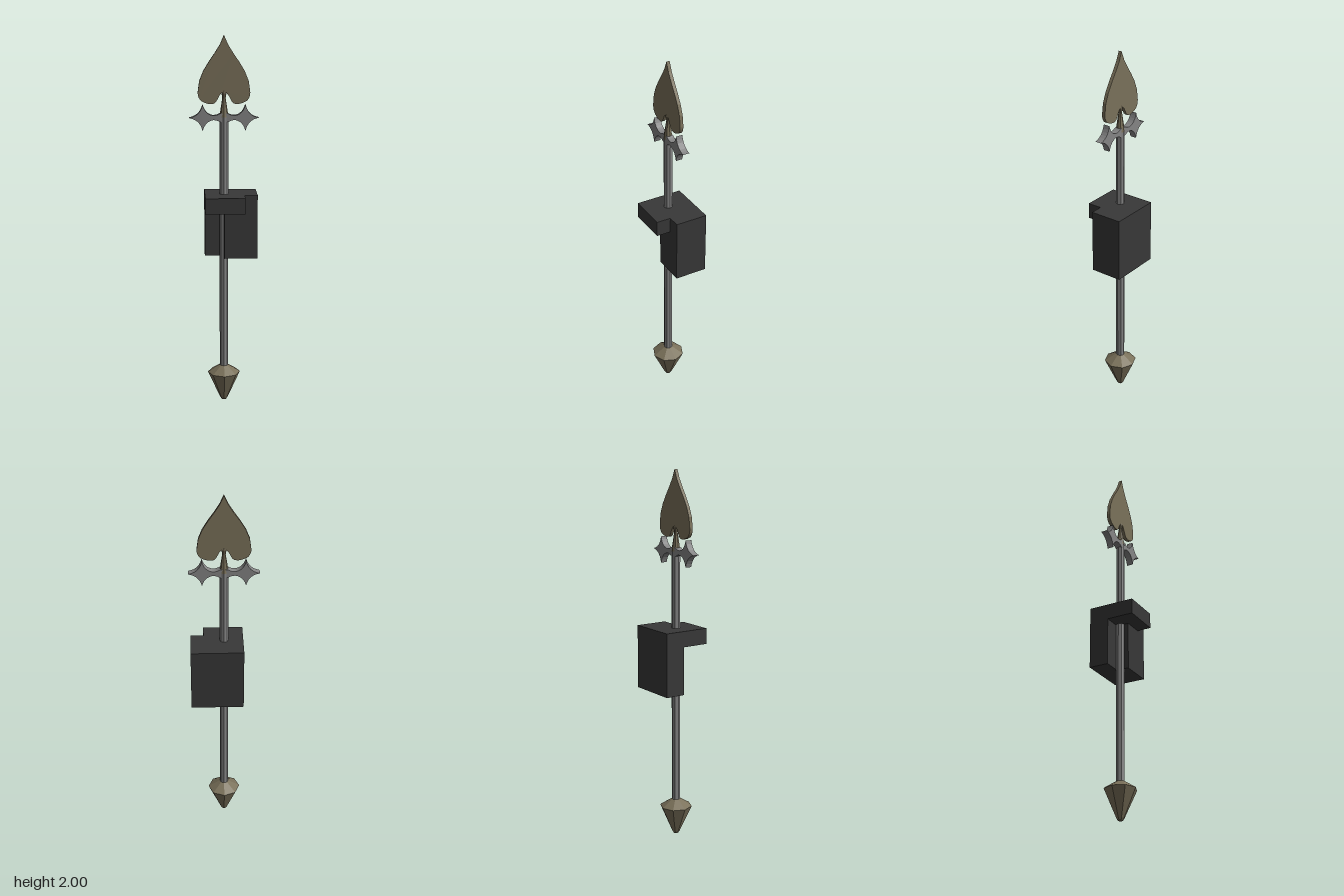
import * as THREE from 'three';

const mat = (name, color) => {
  const m = new THREE.MeshStandardMaterial({ color, flatShading: true });
  m.name = name;
  return m;
};

export function createModel() {
  const bronze = mat('dull bronze', 0x7a715a);
  const steel = mat('grey steel', 0x848484);
  const black = mat('black', 0x383838);
  const model = new THREE.Group();
  model.name = 'spear';

  const add = (name, geometry, material) => {
    const mesh = new THREE.Mesh(geometry, material);
    mesh.name = name;
    model.add(mesh);
    return mesh;
  };
  // Eight-sided turned part from [radius, height] pairs, bottom to top
  const turned = (name, points, material) =>
    add(name, new THREE.LatheGeometry(points.map(p => new THREE.Vector2(...p)), 8), material);
  // Flat plate centred on z = 0
  const plate = (name, shape, depth, material) => {
    const g = new THREE.ExtrudeGeometry(shape, { depth, bevelEnabled: false, curveSegments: 6 });
    g.translate(0, 0, -depth / 2);
    return add(name, g, material);
  };
  // Block from a plan outline of [x, z] corners between two heights
  const block = (name, plan, y0, y1) => {
    const shape = new THREE.Shape(plan.map(([x, z]) => new THREE.Vector2(x, -z)));
    const g = new THREE.ExtrudeGeometry(shape, { depth: y1 - y0, bevelEnabled: false });
    g.rotateX(-Math.PI / 2).translate(0, y0, 0);
    return add(name, g, black);
  };

  // Shaft, foot spike and the neck that holds the head
  turned('shaft', [[0, 0.17], [0.023, 0.17], [0.023, 1.58], [0, 1.58]], steel);
  turned('footSpike', [[0, 0], [0.013, 0.002], [0.021, 0.014], [0.088, 0.163], [0.025, 0.203], [0, 0.203]], bronze);
  turned('neck', [[0, 1.575], [0.024, 1.575], [0.019, 1.61], [0.009, 1.675], [0.013, 1.70], [0.008, 1.72], [0, 1.725]], bronze);

  // Spade-shaped head
  const head = new THREE.Shape();
  head.moveTo(0, 2);
  head.bezierCurveTo(0.03, 1.9, 0.137, 1.83, 0.137, 1.705);
  head.bezierCurveTo(0.137, 1.685, 0.13, 1.67, 0.118, 1.66);
  head.bezierCurveTo(0.09, 1.645, 0.07, 1.64, 0.05, 1.648);
  head.bezierCurveTo(0.03, 1.66, 0.03, 1.70, 0, 1.71);
  head.bezierCurveTo(-0.03, 1.70, -0.03, 1.66, -0.05, 1.648);
  head.bezierCurveTo(-0.07, 1.64, -0.09, 1.645, -0.118, 1.66);
  head.bezierCurveTo(-0.13, 1.67, -0.137, 1.685, -0.137, 1.705);
  head.bezierCurveTo(-0.137, 1.83, -0.03, 1.9, 0, 2);
  plate('spadeHead', head, 0.018, bronze);

  // Four-pointed side lugs with concave edges
  for (const s of [1, -1]) {
    const lug = new THREE.Shape();
    const y = 1.573;
    lug.moveTo(0, y + 0.024);
    lug.lineTo(s * 0.022, y + 0.022);
    lug.quadraticCurveTo(s * 0.04, y + 0.01, s * 0.06, y + 0.012);
    lug.quadraticCurveTo(s * 0.1, y + 0.02, s * 0.112, y + 0.07);
    lug.quadraticCurveTo(s * 0.125, y + 0.01, s * 0.182, y);
    lug.quadraticCurveTo(s * 0.125, y - 0.01, s * 0.112, y - 0.07);
    lug.quadraticCurveTo(s * 0.1, y - 0.02, s * 0.06, y - 0.012);
    lug.quadraticCurveTo(s * 0.04, y - 0.01, s * 0.022, y - 0.022);
    lug.lineTo(0, y - 0.024);
    plate(s > 0 ? 'leftLug' : 'rightLug', lug, 0.036, steel);
  }

  // Grip block: stepped lower body under a wider top slab
  block('gripBody', [[-0.102, -0.128], [0.177, -0.128], [0.177, 0.048],
    [0, 0.048], [0, -0.02], [-0.102, -0.02]], 0.82, 1.08);
  block('gripTop', [[-0.102, -0.128], [0.177, -0.128], [0.177, 0.048],
    [0.108, 0.048], [0.108, 0.126], [-0.102, 0.126]], 1.08, 1.165);

  return model;
}
